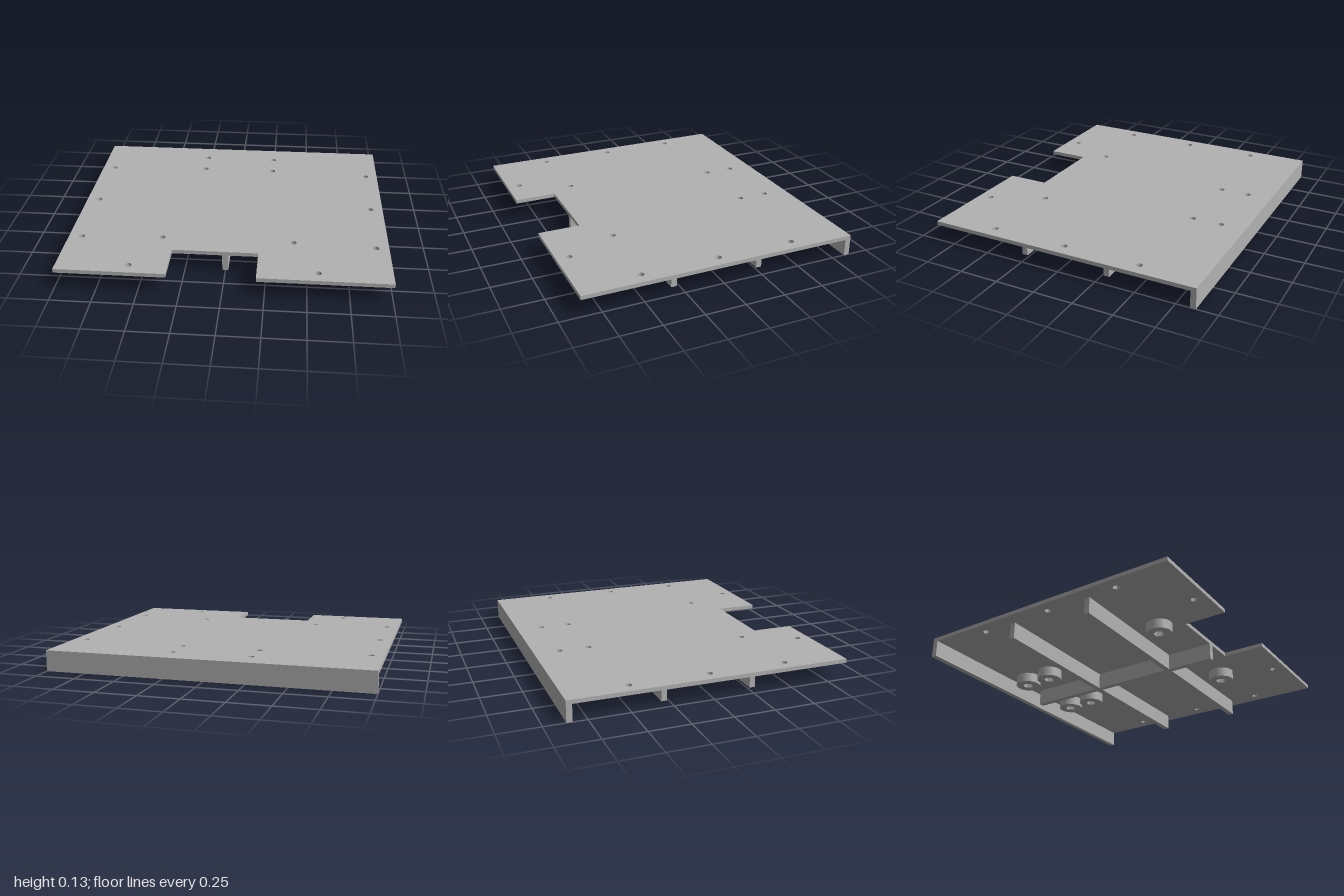
import * as THREE from 'three';
import { toCreasedNormals } from 'three/addons/utils/BufferGeometryUtils.js';

const TOP = 0.13, UNDER = 0.105, HOLE = 0.02;
const grey = new THREE.MeshStandardMaterial({ color: 0xb2b2b2 });
grey.name = 'grey';

// Extrude an x/z outline downwards from the given height
function slab(name, shape, top, bottom) {
  const geo = new THREE.ExtrudeGeometry(shape, { depth: top - bottom, bevelEnabled: false, curveSegments: 24 });
  geo.rotateX(Math.PI / 2).translate(0, top, 0);
  const mesh = new THREE.Mesh(toCreasedNormals(geo, 0.6), grey);
  mesh.name = name;
  return mesh;
}

function bar(name, x0, x1, z0, z1) {
  const mesh = new THREE.Mesh(new THREE.BoxGeometry(x1 - x0, UNDER, z1 - z0), grey);
  mesh.position.set((x0 + x1) / 2, UNDER / 2, (z0 + z1) / 2);
  mesh.name = name;
  return mesh;
}

export function createModel() {
  const model = new THREE.Group();
  model.name = 'mountingPlate';

  const bosses = [[0.412, 0.462], [0.246, -0.524], [0.246, -0.711]];
  const edgeHoles = [[0.919, -0.49], [0.919, 0], [0.919, 0.488], [0.562, 0.79]];

  // Top plate with front notch and screw holes
  const plate = new THREE.Shape([
    [-1, -0.87], [1, -0.87], [1, 0.87], [0.2, 0.87],
    [0.2, 0.604], [-0.33, 0.604], [-0.33, 0.87], [-1, 0.87],
  ].map(([x, z]) => new THREE.Vector2(x, z)));
  for (const [x, z] of [...bosses, ...edgeHoles]) {
    for (const side of [-1, 1]) {
      plate.holes.push(new THREE.Path().absarc(side * x, z, HOLE, 0, Math.PI * 2, true));
    }
  }
  model.add(slab('plate', plate, TOP, UNDER));

  // Rear flange and stiffening ribs
  model.add(bar('rearFlange', -1, 1, -0.87, -0.835));
  model.add(bar('centreRib', -0.02, 0.017, -0.79, 0.604));
  model.add(bar('frontCrossRib', -0.916, 0.916, 0.265, 0.3));
  model.add(bar('rearCrossRib', -0.916, 0.916, -0.295, -0.26));

  // Round bosses with a hexagonal nut pocket
  for (const [x, z] of bosses) {
    for (const side of [-1, 1]) {
      const ring = new THREE.Shape().absarc(0, 0, 0.082, 0, Math.PI * 2);
      const pocket = [];
      for (let i = 0; i < 6; i++) {
        const a = -i * Math.PI / 3;
        pocket.push(new THREE.Vector2(0.035 * Math.cos(a), 0.035 * Math.sin(a)));
      }
      ring.holes.push(new THREE.Path(pocket));
      const boss = slab('boss', ring, UNDER, 0.042);
      boss.position.set(side * x, 0, z);
      model.add(boss);
    }
  }
  return model;
}
